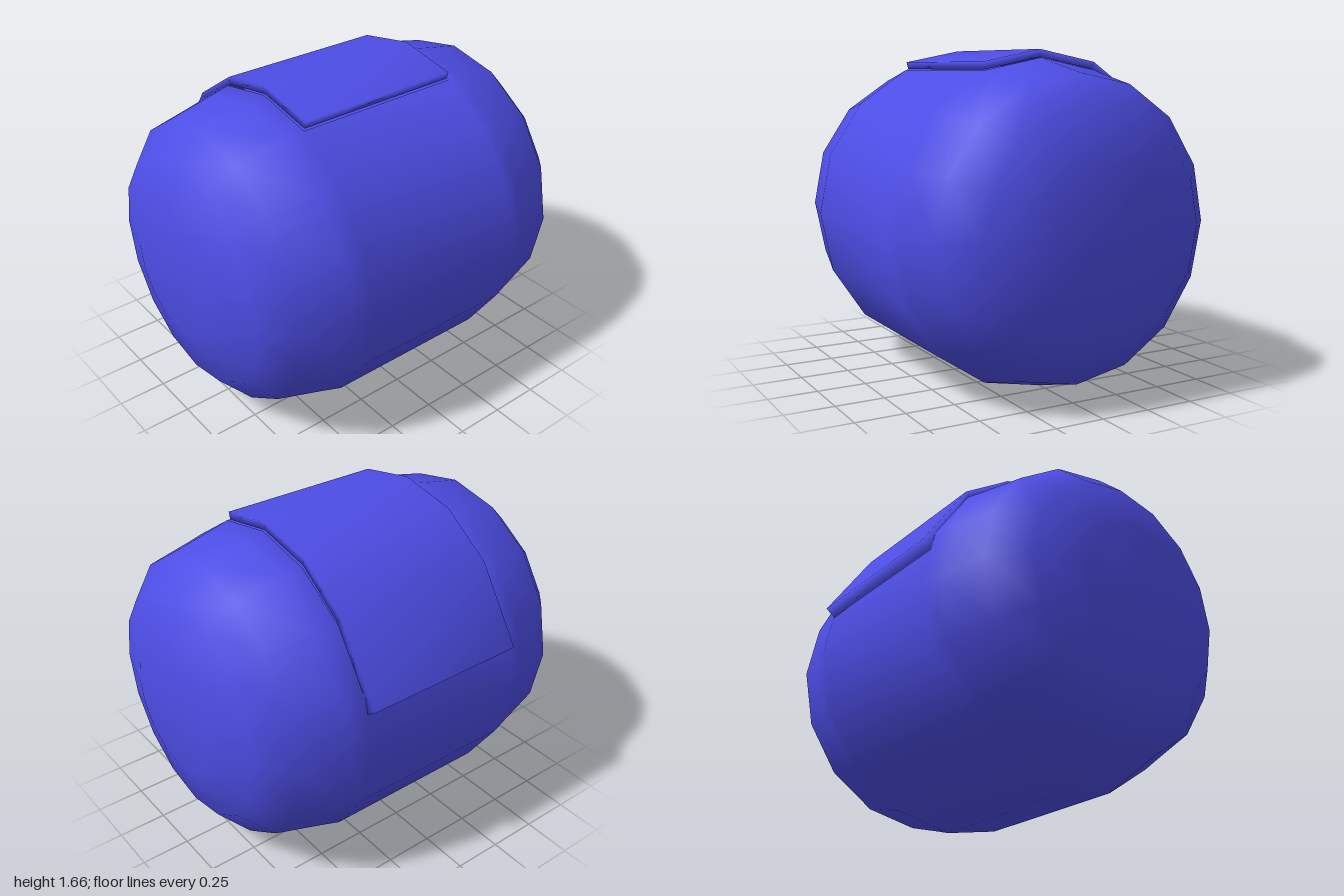
import * as THREE from 'three';
import { mergeVertices } from 'three/addons/utils/BufferGeometryUtils.js';

const SIDES = 16, STEP = (Math.PI * 2) / SIDES, CY = 0.81, R = 0.81;
const blue = new THREE.MeshStandardMaterial({ color: 0x4d4de6 });

// Barrel lying along z, with a shallow recess under the hatch
function bodyGeometry() {
  // front half profile: [z, radius, rise of centre]
  const half = [[1, 0.318, 0.03], [0.925, 0.576, 0.025], [0.78, 0.726, 0.015], [0.54, 0.785, 0.004], [0.445, R, 0]];
  const rings = [...half, ...half.slice().reverse().map(([z, r, d]) => [-z, r, d])];
  const pos = [], index = [];
  const add = (x, y, z) => pos.push(x, y, z) / 3 - 1;
  const polar = (r, j, y, z) => add(r * Math.sin(j * STEP), y + r * Math.cos(j * STEP), z);
  const quad = (a, b, c, d) => index.push(a, b, c, a, c, d);

  const grid = rings.map(([z, r, d]) => Array.from({ length: SIDES }, (_, j) => polar(r, j, CY + d, z)));
  const at = (i, j) => grid[i][(j + SIDES) % SIDES];
  const last = rings.length - 1, mid = half.length - 1;
  const inRecess = (j) => j === 0 || j >= SIDES - 3;
  for (let i = 0; i < last; i++) {
    for (let j = 0; j < SIDES; j++) {
      if (i === mid && inRecess(j)) continue;
      quad(at(i, j), at(i, j + 1), at(i + 1, j + 1), at(i + 1, j));
    }
  }

  // end caps
  const front = add(0, CY + 0.03, 1), back = add(0, CY + 0.03, -1);
  for (let j = 0; j < SIDES; j++) {
    index.push(front, at(0, j + 1), at(0, j), back, at(last, j), at(last, j + 1));
  }

  // recess floor and walls
  const floor = [0.445, -0.445].map((z) => Array.from({ length: 5 }, (_, k) => polar(R - 0.04, k - 3, CY, z)));
  const [f, b] = floor;
  const rimF = (k) => at(mid, k - 3), rimB = (k) => at(mid + 1, k - 3);
  for (let k = 0; k < 4; k++) {
    quad(f[k], f[k + 1], b[k + 1], b[k]);
    quad(rimF(k), rimF(k + 1), f[k + 1], f[k]);
    quad(b[k], b[k + 1], rimB(k + 1), rimB(k));
  }
  quad(rimF(0), f[0], b[0], rimB(0));
  quad(f[4], rimF(4), rimB(4), b[4]);

  const geo = new THREE.BufferGeometry();
  geo.setAttribute('position', new THREE.Float32BufferAttribute(pos, 3));
  geo.setIndex(index);
  geo.computeVertexNormals();
  return geo;
}

// Curved plate over the recess, its lower edge lifted off the barrel
function hatchGeometry() {
  const outer = [[0.31, 1.6], [0, 1.66], [-0.31, 1.6], [-0.575, 1.42], [-0.82, 1.05]];
  const inner = [[-0.77, 1.015], [-0.55, 1.39], [-0.3, 1.565], [0, 1.622], [0.3, 1.563]];
  const shape = new THREE.Shape([...outer, ...inner].map(([x, y]) => new THREE.Vector2(x, y)));
  const geo = new THREE.ExtrudeGeometry(shape, { depth: 0.87, bevelEnabled: false });
  geo.translate(0, 0, -0.435);
  geo.deleteAttribute('normal');
  geo.deleteAttribute('uv');
  const smooth = mergeVertices(geo);
  smooth.computeVertexNormals();
  return smooth;
}

export function createModel() {
  const group = new THREE.Group();
  for (const [name, geo] of [['barrelBody', bodyGeometry()], ['hatch', hatchGeometry()]]) {
    const mesh = new THREE.Mesh(geo, blue);
    mesh.name = name;
    group.add(mesh);
  }
  return group;
}
